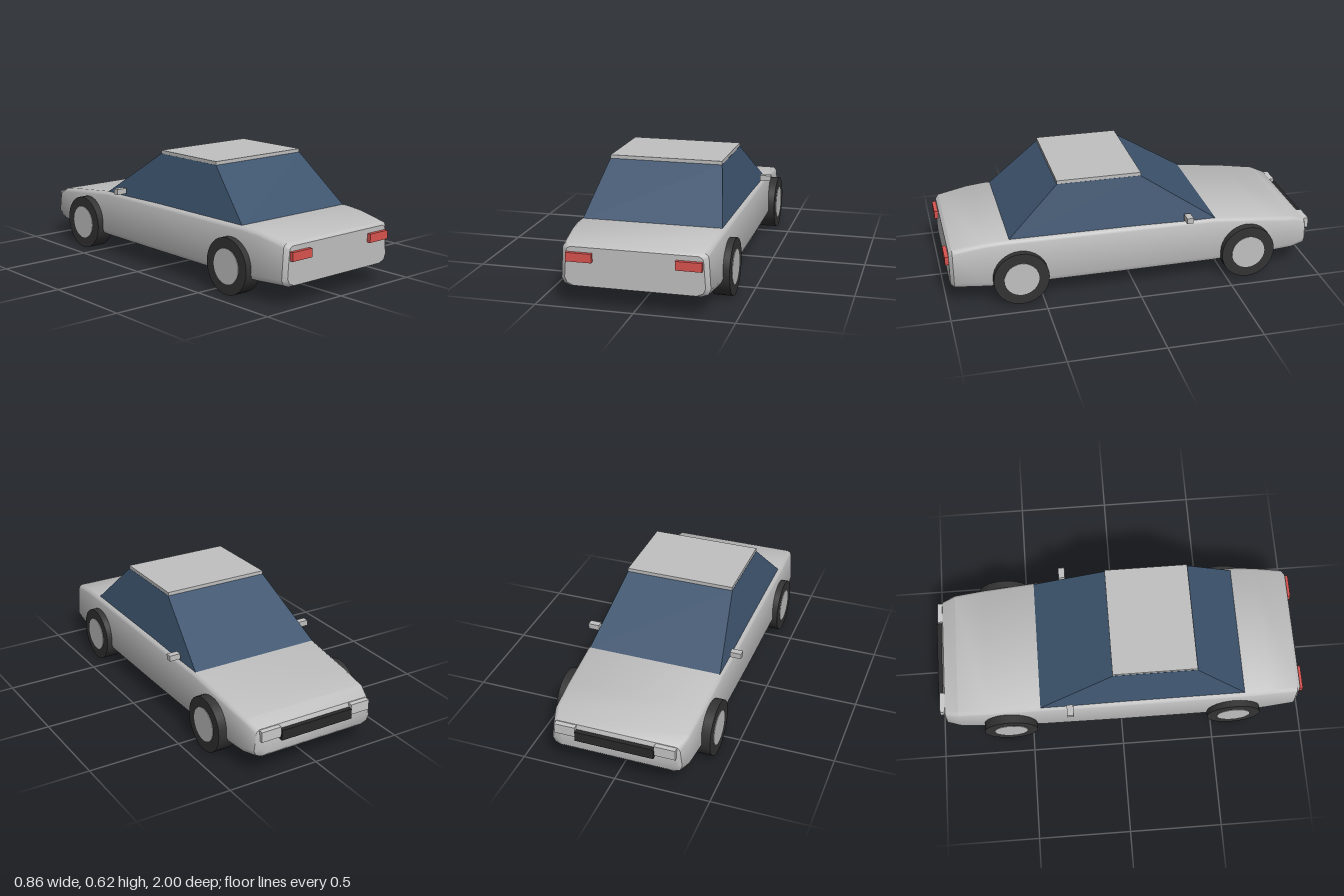
import * as THREE from 'three';
import { toCreasedNormals } from 'three/addons/utils/BufferGeometryUtils.js';

const flat = (name, color) => {
  const m = new THREE.MeshStandardMaterial({ color });
  m.name = name;
  return m;
};

// Join closed rings of points (counterclockwise seen from +z) and cap both ends
function loft(rings) {
  const n = rings[0].length, index = [];
  rings.forEach((ring, i) => {
    if (i === rings.length - 1) return;
    for (let j = 0; j < n; j++) {
      const a = i * n + j, b = i * n + (j + 1) % n, c = b + n, d = a + n;
      index.push(a, b, c, a, c, d);
    }
  });
  const last = (rings.length - 1) * n;
  for (let j = 1; j < n - 1; j++) {
    index.push(0, j + 1, j);
    index.push(last, last + j, last + j + 1);
  }
  const g = new THREE.BufferGeometry();
  g.setAttribute('position', new THREE.Float32BufferAttribute(rings.flat(2), 3));
  g.setIndex(index);
  return toCreasedNormals(g, 0.6);
}

// Body cross-section with bevelled sills and shoulders
function bodySection([z, w, bottom, top]) {
  const right = [
    [w - 0.045, bottom], [w - 0.012, bottom + 0.014], [w, bottom + 0.04],
    [w - 0.01, top - 0.022], [w - 0.015, top - 0.01], [w - 0.03, top],
  ];
  const left = right.map(([x, y]) => [-x, y]).reverse();
  return [...right, ...left].map(([x, y]) => [x, y, z]);
}

export function createModel() {
  const paint = flat('silver paint', 0xc0c0c0);
  const glass = flat('tinted glass', 0x3d546e);
  const rubber = flat('tyre rubber', 0x333333);
  const black = flat('black trim', 0x292929);
  const red = flat('red lens', 0xd9534f);
  const lens = flat('clear lens', 0xc9c9c9);

  const car = new THREE.Group();
  car.name = 'car';
  const add = (name, geometry, material, x = 0, y = 0, z = 0, parent = car) => {
    const mesh = new THREE.Mesh(geometry, material);
    mesh.name = name;
    mesh.position.set(x, y, z);
    parent.add(mesh);
    return mesh;
  };
  const box = (name, material, w, h, d, x, y, z) =>
    add(name, new THREE.BoxGeometry(w, h, d), material, x, y, z);

  // Body, nose to tail: z, half width, bottom, top
  const stations = [
    [-0.978, 0.325, 0.125, 0.235],
    [-0.965, 0.345, 0.108, 0.26],
    [-0.89, 0.367, 0.099, 0.29],
    [-0.72, 0.377, 0.092, 0.314],
    [-0.43, 0.387, 0.088, 0.347],
    [0, 0.391, 0.088, 0.351],
    [0.7, 0.391, 0.088, 0.354],
    [0.8, 0.385, 0.091, 0.346],
    [0.96, 0.372, 0.1, 0.318],
    [0.978, 0.35, 0.108, 0.305],
  ];
  add('body', loft(stations.map(bodySection)), paint);

  // Glasshouse: a box tapered towards the roof
  const cabin = new THREE.BoxGeometry(1, 1, 1);
  const p = cabin.attributes.position;
  for (let i = 0; i < p.count; i++) {
    const up = p.getY(i) > 0, rear = p.getZ(i) > 0;
    p.setXYZ(i, Math.sign(p.getX(i)) * (up ? 0.297 : 0.362), up ? 0.607 : 0.346,
      up ? (rear ? 0.4 : -0.043) : (rear ? 0.675 : -0.44));
  }
  cabin.computeVertexNormals();
  add('glasshouse', cabin, glass);
  box('roof', paint, 0.592, 0.02, 0.445, 0, 0.615, 0.178);

  // Wheels: tyre with a proud hub disc
  for (const side of [-1, 1]) {
    for (const [end, z] of [['front', -0.615], ['rear', 0.617]]) {
      const wheel = new THREE.Group();
      wheel.name = end + (side > 0 ? 'LeftWheel' : 'RightWheel');
      wheel.position.set(side * 0.371, 0.146, z);
      wheel.rotation.z = -side * Math.PI / 2;
      add('tyre', new THREE.CylinderGeometry(0.146, 0.146, 0.094, 32), rubber, 0, 0, 0, wheel);
      add('hub', new THREE.CylinderGeometry(0.091, 0.091, 0.1, 32), paint, 0, 0, 0, wheel);
      car.add(wheel);
    }

    // Lights and mirrors
    box('mirror', paint, 0.06, 0.03, 0.035, side * 0.4, 0.378, -0.28);
    box('headlight', lens, 0.11, 0.055, 0.04, side * 0.264, 0.23, -0.973);
    box('tailLight', red, 0.13, 0.045, 0.03, side * 0.272, 0.257, 0.983);
  }
  box('grille', black, 0.415, 0.055, 0.03, 0, 0.212, -0.985);

  return car;
}
